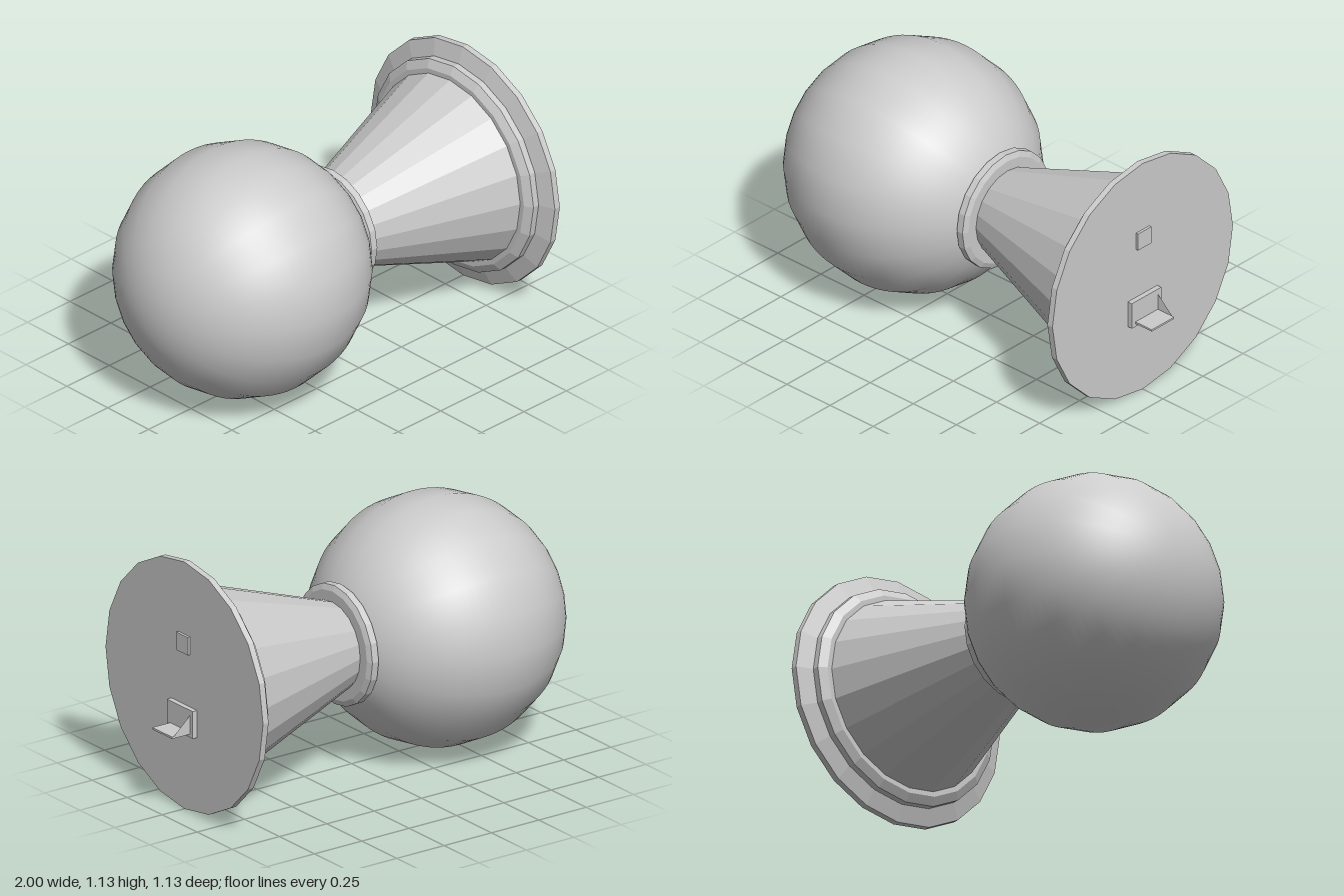
import * as THREE from 'three';

const SIDES = 20;
const AXIS_Y = 0.563;

export function createModel() {
  const model = new THREE.Group();
  const faceted = new THREE.MeshStandardMaterial({ color: 0xcccccc, flatShading: true });
  const smooth = new THREE.MeshStandardMaterial({ color: 0xcccccc });
  const thin = new THREE.MeshStandardMaterial({ color: 0xcccccc, side: THREE.DoubleSide });

  const add = (name, geometry, material, x, y, z) => {
    const mesh = new THREE.Mesh(geometry, material);
    mesh.name = name;
    mesh.position.set(x, y, z);
    model.add(mesh);
    return mesh;
  };

  // Solid of revolution about the horizontal axis; profile is [radius, x]
  const turned = (name, profile) => {
    const points = profile.map(([r, x]) => new THREE.Vector2(r, x));
    const mesh = add(name, new THREE.LatheGeometry(points, SIDES), faceted, 0, AXIS_Y, 0);
    mesh.rotation.z = -Math.PI / 2;
  };

  // Globe, with its poles on the horizontal axis
  const globe = add('globe', new THREE.SphereGeometry(0.553, SIDES, 40), smooth, -0.447, AXIS_Y, 0);
  globe.rotation.z = -Math.PI / 2;

  // Collar between globe and cone
  turned('collar', [[0, 0.045], [0.245, 0.045], [0.27, 0.056], [0.27, 0.089], [0.245, 0.1], [0, 0.1]]);

  // Flaring housing
  turned('cone', [[0, 0.09], [0.194, 0.09], [0.43, 0.78], [0, 0.78]]);

  // Stepped rim and mounting disc
  turned('rim', [[0, 0.778], [0.452, 0.778], [0.488, 0.8], [0.488, 0.831], [0, 0.831]]);
  turned('mountingDisc', [[0, 0.83], [0.49, 0.83], [0.563, 0.854], [0.563, 0.883], [0, 0.883]]);

  // Small square button and latch plate on the disc
  add('button', new THREE.BoxGeometry(0.022, 0.082, 0.082), faceted, 0.884, 0.756, 0);
  add('latchPlate', new THREE.BoxGeometry(0.034, 0.124, 0.184), faceted, 0.889, 0.415, 0.001);

  // Latch: a thin shelf with a triangular fin along its back edge
  add('latchShelf', new THREE.BoxGeometry(0.097, 0.009, 0.14), faceted, 0.9515, 0.372, 0);
  const fin = new THREE.Shape([
    new THREE.Vector2(0, 0),
    new THREE.Vector2(0.097, 0),
    new THREE.Vector2(0, 0.087),
  ]);
  add('latchFin', new THREE.ShapeGeometry(fin), thin, 0.903, 0.368, -0.07);

  return model;
}
